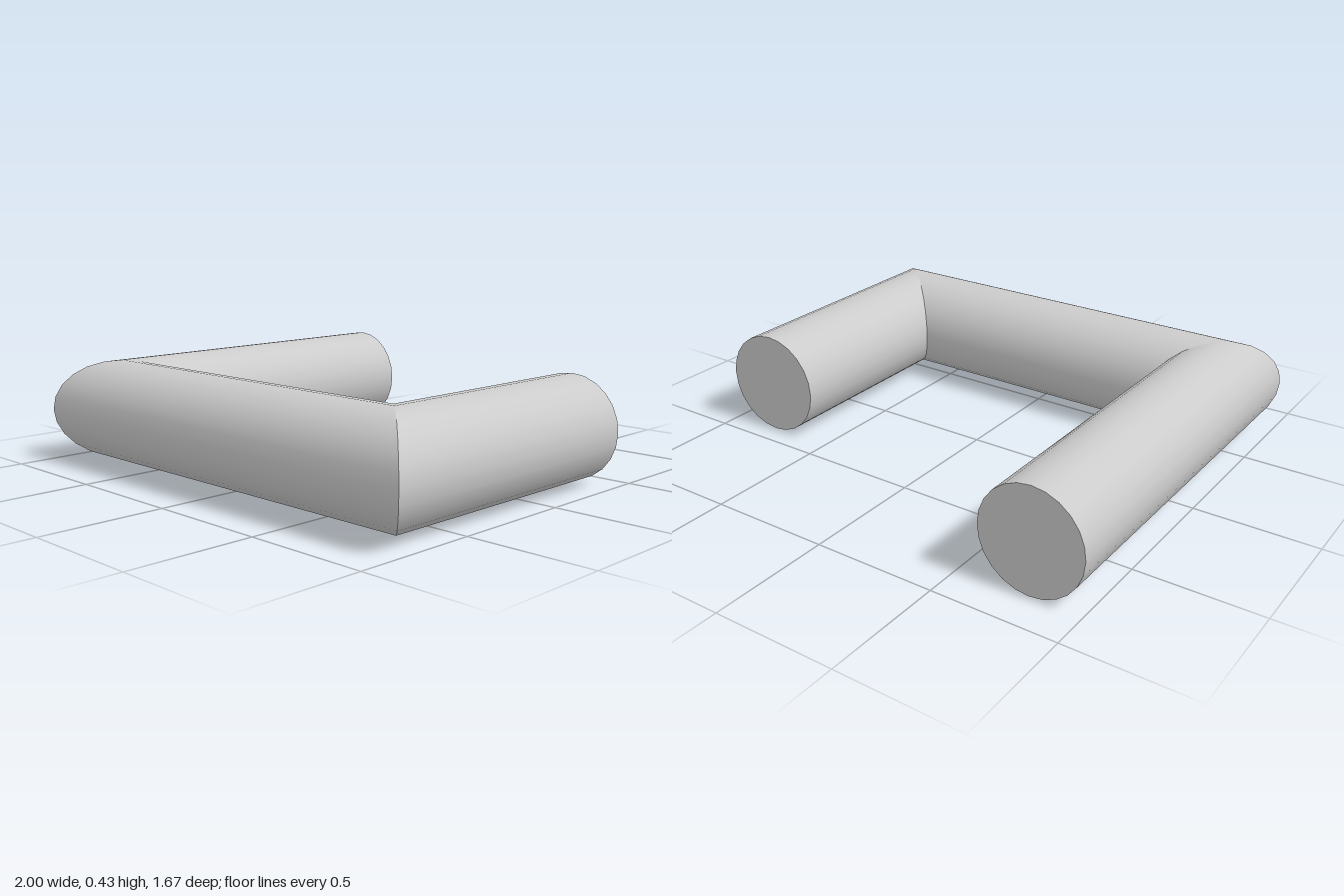
import * as THREE from 'three';

const SIDES = 24;
const RY = 0.2125; // half the height of the tube

// Cross-sections along the bent tube: centre (x, z) and offset to its outer edge
const rings = [
  { x: -0.79, z: -0.84, dx: -0.21, dz: 0 },        // open end of the long arm
  { x: -0.79, z: 0.62, dx: -0.21, dz: 0.215 },     // mitred corner
  { x: 0.782, z: 0.62, dx: 0.218, dz: 0.215 },     // mitred corner
  { x: 0.782, z: -0.405, dx: 0.218, dz: 0 },       // open end of the short arm
];

// Straight tube between two cross-sections, with mitred ends
function tube(a, b) {
  const geo = new THREE.CylinderGeometry(1, 1, 1, SIDES, 1, true);
  const pos = geo.attributes.position, nor = geo.attributes.normal;
  const axis = new THREE.Vector3(b.x - a.x, 0, b.z - a.z).normalize();
  const outward = new THREE.Vector3(0, 1, 0).cross(axis).negate();
  for (let i = 0; i < pos.count; i++) {
    const r = pos.getY(i) < 0 ? a : b;
    const u = pos.getX(i), v = pos.getZ(i);
    pos.setXYZ(i, r.x + u * r.dx, RY + v * RY, r.z + u * r.dz);
    nor.setXYZ(i, u * outward.x, v, u * outward.z);
  }
  return geo;
}

// Flat disc closing an arm, facing the back
function endCap(r) {
  return new THREE.CircleGeometry(1, SIDES)
    .scale(Math.abs(r.dx), RY, 1)
    .rotateY(Math.PI)
    .translate(r.x, RY, r.z);
}

export function createModel() {
  const group = new THREE.Group();
  const material = new THREE.MeshStandardMaterial({ color: 0xcccccc });
  const add = (name, geo) => {
    const mesh = new THREE.Mesh(geo, material);
    mesh.name = name;
    group.add(mesh);
  };
  ['longArm', 'crossBar', 'shortArm'].forEach((name, i) => add(name, tube(rings[i], rings[i + 1])));
  add('longArmEnd', endCap(rings[0]));
  add('shortArmEnd', endCap(rings[3]));
  return group;
}
